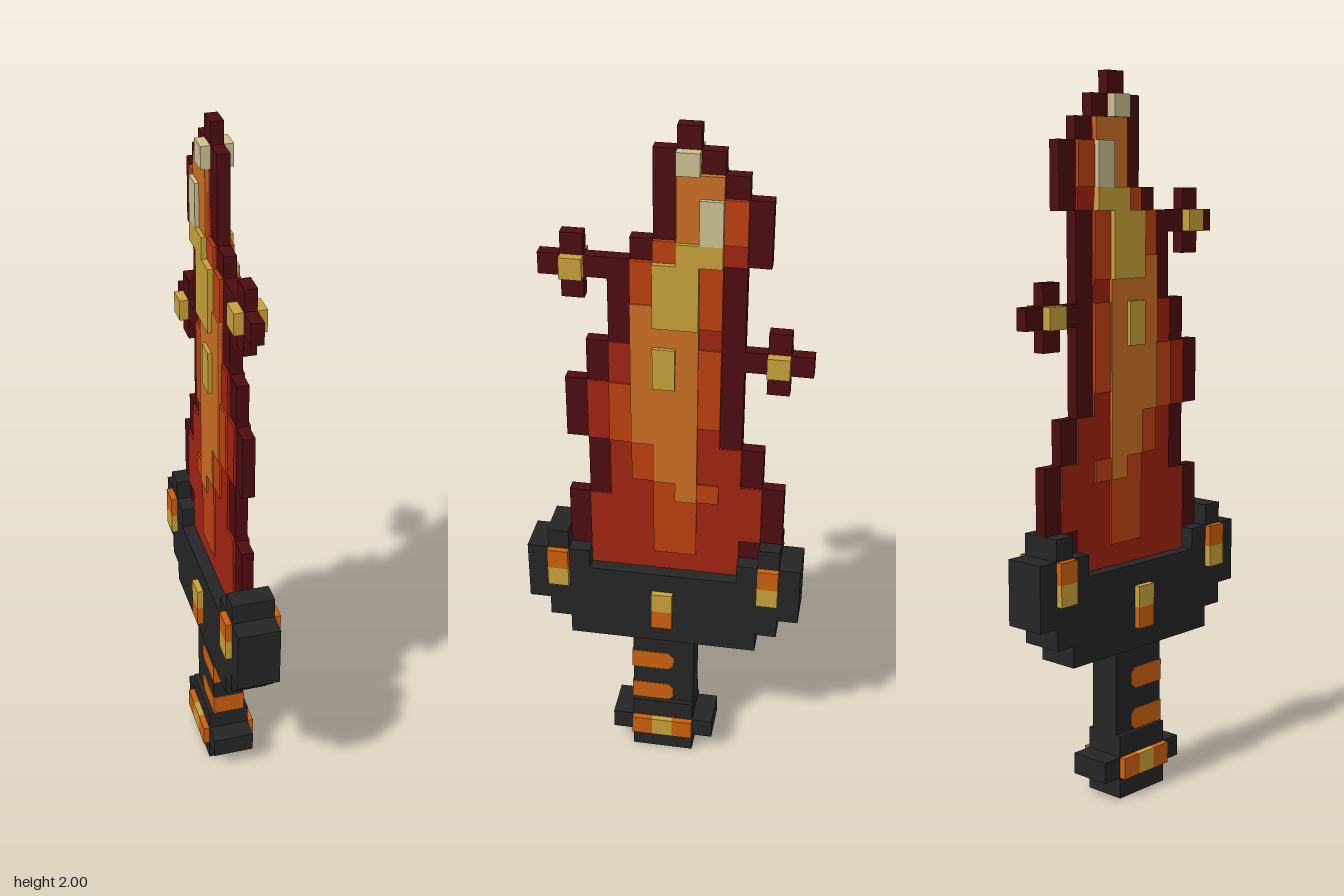
import * as THREE from 'three';
import { mergeGeometries } from 'three/addons/utils/BufferGeometryUtils.js';

// Everything sits on a grid 13 cells deep (column 0 is the front, +z) and 33 cells high.
const U = 2 / 33;

const material = (name, color) => {
  const m = new THREE.MeshStandardMaterial({ color });
  m.name = name;
  return m;
};

// Box covering columns c0..c1 and rows r0..r1, reaching from -half to +half in x
function slab([c0, c1, r0, r1], half) {
  const geo = new THREE.BoxGeometry(half * 2, (r1 - r0 + 1) * U, (c1 - c0 + 1) * U);
  geo.translate(0, ((r0 + r1 + 1) / 2) * U, (6 - (c0 + c1) / 2) * U);
  return geo;
}

export function createModel() {
  const model = new THREE.Group();
  model.name = 'flameSword';

  const iron = material('black iron', 0x252525);
  const maroon = material('dark maroon', 0x4c0c10);
  const red = material('flame red', 0xa02412);
  const ember = material('ember orange', 0xbc4010);
  const amber = material('amber', 0xca6f24);
  const yellow = material('yellow', 0xc6a03a);
  const cream = material('cream', 0xccc090);
  const orange = material('band orange', 0xcb600e);

  const add = (name, mat, half, cells) => {
    const mesh = new THREE.Mesh(mergeGeometries(cells.map((c) => slab(c, half))), mat);
    mesh.name = name;
    model.add(mesh);
  };

  // Flame outline, one slab per step of the silhouette
  const outline = [
    [2, 10, 11, 12], [2, 11, 13, 14], [3, 11, 15, 15], [3, 10, 16, 17],
    [2, 9, 18, 20], [3, 9, 21, 22], [4, 9, 23, 25], [4, 9, 26, 26],
    [5, 10, 27, 27], [6, 10, 28, 29], [6, 9, 30, 30], [6, 8, 31, 31], [7, 7, 32, 32],
  ];
  add('bladeOutline', maroon, 0.017, outline);
  // Flame body is the outline less one cell on each side
  add('bladeFlame', red, 0.023, outline.slice(0, -2).map(([a, b, c, d]) => [a + 1, b - 1, c, d]));

  // Hotter layers towards the middle of the blade
  add('bladeEmber', ember, 0.028, [
    [6, 7, 12, 14], [6, 8, 15, 15], [5, 7, 16, 17], [4, 7, 18, 20], [5, 8, 19, 22],
    [5, 7, 23, 26], [8, 8, 24, 26], [6, 8, 27, 27], [7, 9, 28, 29],
  ]);
  add('bladeAmber', amber, 0.032, [
    [7, 7, 15, 15], [6, 7, 16, 17], [5, 7, 18, 21], [6, 7, 22, 23], [5, 5, 22, 24],
    [7, 7, 28, 29], [7, 8, 30, 30],
  ]);
  add('bladeYellow', yellow, 0.043, [[6, 6, 21, 22], [6, 7, 24, 26], [7, 8, 27, 27]]);
  add('bladeHotTip', cream, 0.043, [[8, 8, 28, 29], [7, 7, 31, 31]]);

  // Cross-shaped sparks either side of the blade
  for (const [name, c, r] of [['frontSpark', 2, 26], ['backSpark', 11, 22]]) {
    add(name, maroon, 0.017, [[c - 1, c + 1, r, r], [c, c, r - 1, r + 1]]);
    add(name + 'Core', yellow, 0.043, [[c, c, r, r]]);
  }
  add('frontSparkLink', maroon, 0.017, [[3, 4, 26, 26]]);

  // Stepped guard with raised ends
  add('guard', iron, 0.06, [
    [2, 10, 7, 7], [1, 11, 8, 8], [0, 12, 9, 10],
    [0, 2, 11, 11], [10, 12, 11, 11], [1, 1, 12, 12], [11, 11, 12, 12],
  ]);
  add('guardGemOrange', orange, 0.078, [[1, 1, 11, 11], [11, 11, 11, 11], [6, 6, 8, 8]]);
  add('guardGemYellow', yellow, 0.078, [[1, 1, 10, 10], [11, 11, 10, 10], [6, 6, 9, 9]]);

  // Grip with bands that wrap the front
  add('grip', iron, 0.045, [[5, 7, 3, 6]]);
  const bandShape = new THREE.Shape();
  const z0 = -1.55 * U, z1 = 0.5 * U, cut = 0.015;
  bandShape.moveTo(z0, 0);
  bandShape.lineTo(z1 - cut, 0);
  bandShape.lineTo(z1, cut);
  bandShape.lineTo(z1, U - cut);
  bandShape.lineTo(z1 - cut, U);
  bandShape.lineTo(z0, U);
  for (const row of [3, 5]) {
    const geo = new THREE.ExtrudeGeometry(bandShape, { depth: 0.094, bevelEnabled: false });
    geo.translate(0, row * U, -0.047);
    geo.rotateY(Math.PI / 2);
    const band = new THREE.Mesh(geo, orange);
    band.name = 'gripBand';
    model.add(band);
  }

  // Pommel and its gem strip
  add('pommel', iron, 0.06, [[5, 7, 0, 2], [4, 8, 1, 1]]);
  add('pommelGemOrange', orange, 0.078, [[5, 5, 1, 1], [7, 7, 1, 1]]);
  add('pommelGemYellow', yellow, 0.078, [[6, 6, 1, 1]]);

  return model;
}
